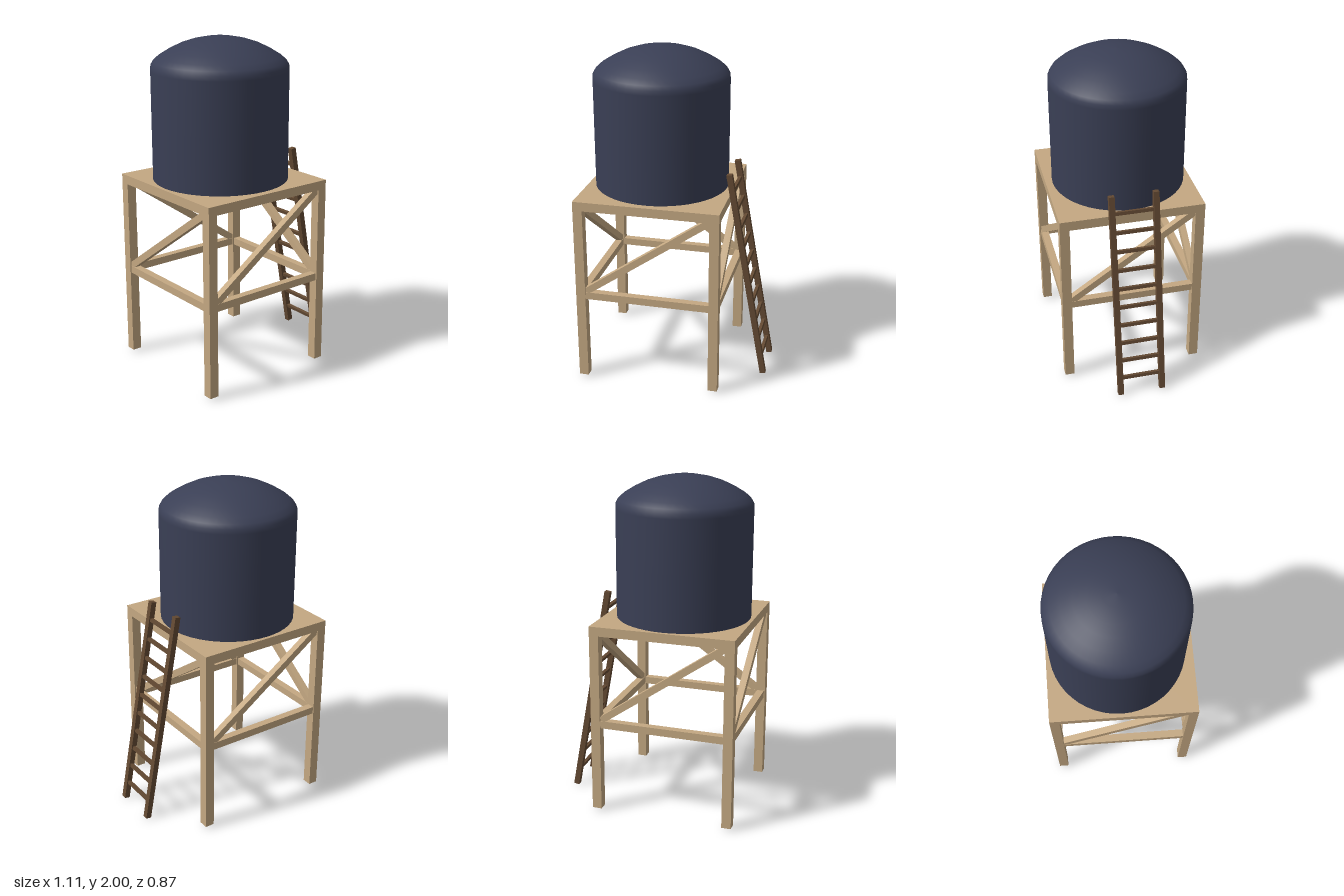
import * as THREE from 'three';

const paleWood = new THREE.MeshStandardMaterial({ color: 0xc4a882 });
paleWood.name = 'paleWood';
const darkWood = new THREE.MeshStandardMaterial({ color: 0x644a33 });
darkWood.name = 'darkWood';
const tankPaint = new THREE.MeshStandardMaterial({ color: 0x3a3f55 });
tankPaint.name = 'tankPaint';

function box(parent, name, material, size, position) {
  const mesh = new THREE.Mesh(new THREE.BoxGeometry(...size), material);
  mesh.name = name;
  mesh.position.set(...position);
  parent.add(mesh);
  return mesh;
}

export function createModel() {
  const model = new THREE.Group();
  model.name = 'waterTower';

  // Stand: square platform, four legs, and one rail and diagonal per side
  const stand = new THREE.Group();
  stand.name = 'stand';
  stand.position.set(-0.126, 0, -0.002);
  model.add(stand);

  const width = 0.866, leg = 0.057, deckBottom = 1.11, deckTop = 1.165, foot = 0.015;
  const reach = (width - leg) / 2;
  box(stand, 'platform', paleWood, [width, deckTop - deckBottom, width], [0, (deckTop + deckBottom) / 2, 0]);

  for (let i = 0; i < 4; i++) {
    const side = new THREE.Group();
    side.name = 'standSide';
    side.rotation.y = i * Math.PI / 2;
    stand.add(side);
    box(side, 'leg', paleWood, [leg, deckBottom - foot, leg], [reach, (deckBottom + foot) / 2, reach]);
    box(side, 'rail', paleWood, [width - 2 * leg, 0.045, 0.045], [0, 0.5625, reach]);
    const brace = box(side, 'brace', paleWood, [0.93, 0.041, 0.04], [0, 0.848, reach]);
    brace.rotation.z = Math.atan2(0.268, 0.385);
  }

  // Domed tank
  const profile = [
    [0.402, deckTop], [0.402, 1.5], [0.402, 1.81], [0.4, 1.838], [0.386, 1.862], [0.355, 1.889],
    [0.3, 1.923], [0.23, 1.957], [0.16, 1.98], [0.08, 1.996], [0, 2.0],
  ].map(([r, y]) => new THREE.Vector2(r, y));
  const tank = new THREE.Mesh(new THREE.LatheGeometry(profile, 48), tankPaint);
  tank.name = 'tank';
  tank.position.set(-0.135, 0, -0.013);
  model.add(tank);

  // Leaning ladder
  const bottom = new THREE.Vector2(0.539, 0.004), top = new THREE.Vector2(0.304, 1.298);
  const run = top.clone().sub(bottom);
  const ladder = new THREE.Group();
  ladder.name = 'ladder';
  ladder.position.set(bottom.x, bottom.y, -0.002);
  ladder.rotation.z = Math.atan2(-run.x, run.y);
  model.add(ladder);

  const length = run.length();
  for (const s of [-1, 1]) {
    box(ladder, 'ladderRail', darkWood, [0.034, length, 0.034], [0, length / 2, s * 0.131]);
  }
  for (let i = 0; i < 10; i++) {
    box(ladder, 'rung', darkWood, [0.02, 0.02, 0.24], [0, (0.111 + i * 0.1195) * length / run.y, 0]);
  }

  return model;
}
